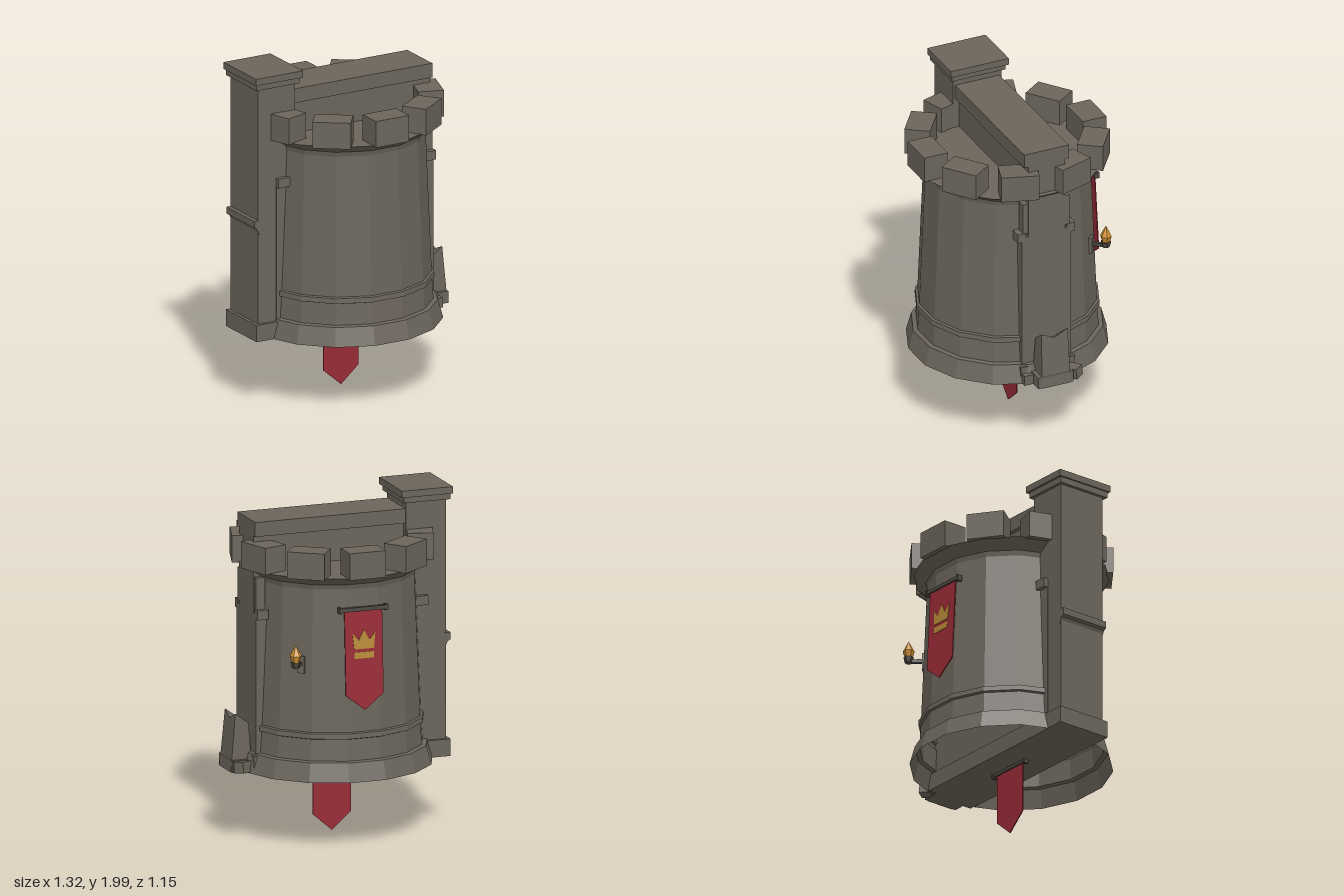
import * as THREE from 'three';

const paint = (name, color, side = THREE.FrontSide) => {
  const m = new THREE.MeshStandardMaterial({ color, side });
  m.name = name;
  return m;
};

export function createModel() {
  const stone = paint('stone', 0x6b655b, THREE.DoubleSide);
  const iron = paint('iron', 0x4c4842);
  const red = paint('red cloth', 0x982a35);
  const gold = paint('gold', 0xb88a38);
  const flameColor = paint('flame', 0xcf902f);

  const model = new THREE.Group();
  model.name = 'castleTower';

  const add = (name, geometry, material, parent = model) => {
    const mesh = new THREE.Mesh(geometry, material);
    mesh.name = name;
    parent.add(mesh);
    return mesh;
  };
  const flat = (geometry) => {
    const g = geometry.index ? geometry.toNonIndexed() : geometry;
    g.computeVertexNormals();
    return g;
  };
  // Box given by its limits on each axis
  const box = (name, x0, x1, y0, y1, z0, z1, material = stone, parent = model) => {
    const mesh = add(name, new THREE.BoxGeometry(x1 - x0, y1 - y0, z1 - z0), material, parent);
    mesh.position.set((x0 + x1) / 2, (y0 + y1) / 2, (z0 + z1) / 2);
    return mesh;
  };
  const plate = (points, depth) => new THREE.ExtrudeGeometry(
    new THREE.Shape(points.map(([x, y]) => new THREE.Vector2(x, y))),
    { depth, bevelEnabled: false });

  // Sixteen-sided tower shell, open below, closed by the roof floor
  const tower = new THREE.Group();
  tower.name = 'tower';
  tower.position.x = 0.01;
  model.add(tower);
  const profile = [[0.582, 0.42], [0.552, 0.53], [0.526, 0.535], [0.518, 0.66],
    [0.532, 0.665], [0.53, 0.695], [0.516, 0.70], [0.482, 1.53],
    [0.49, 1.56], [0.562, 1.612], [0.0001, 1.612]];
  add('towerWall', flat(new THREE.LatheGeometry(
    profile.map(([r, y]) => new THREE.Vector2(r, y)), 16, Math.PI / 16)), stone, tower);

  // Ten battlements around the rim
  for (let i = 0; i < 10; i++) {
    const pivot = new THREE.Group();
    pivot.name = 'battlement';
    pivot.rotation.y = i * Math.PI / 5;
    tower.add(pivot);
    box('battlementBlock', -0.11, 0.11, 1.608, 1.765, 0.425, 0.575, stone, pivot);
  }

  // Wall running through the tower, with its ledge and capping
  box('lowerWall', -0.51, 0.53, 0.42, 1.35, -0.155, 0.155);
  box('wallFoot', -0.53, 0.55, 0.42, 0.52, -0.17, 0.17);
  box('upperWall', -0.45, 0.53, 1.35, 1.8, -0.115, 0.115);
  box('wallCap', -0.4, 0.53, 1.8, 1.885, -0.14, 0.14);
  for (const s of [-1, 1]) {
    box('wallPilaster', 0.475, 0.528, 1.37, 1.56, s * 0.13 - 0.018, s * 0.13 + 0.018);
    box('wallPilaster', -0.46, -0.4, 1.37, 1.56, s * 0.13 - 0.018, s * 0.13 + 0.018);
    box('wallLedge', 0.465, 0.531, 1.32, 1.375, s * 0.155 - 0.025, s * 0.155 + 0.025);
    box('wallLedge', -0.51, -0.43, 1.32, 1.375, s * 0.155 - 0.025, s * 0.155 + 0.025);
  }

  // Square pillar at the wall's end
  box('pillar', -0.63, -0.385, 0.42, 1.93, -0.152, 0.152);
  box('pillarFoot', -0.65, -0.5, 0.42, 0.52, -0.172, 0.172);
  box('pillarNeck', -0.65, -0.365, 1.925, 1.96, -0.17, 0.17);
  box('pillarCap', -0.66, -0.35, 1.96, 2.0, -0.183, 0.183);
  const ledge = add('pillarLedge',
    plate([[-0.62, 1.05], [-0.62, 1.14], [-0.656, 1.14], [-0.656, 1.1], [-0.638, 1.09]], 0.31), stone);
  ledge.position.z = -0.155;

  // Broken masonry stub on the left side, leaning outward toward its foot
  const stubShape = plate(
    [[-0.09, 0.42], [0.09, 0.42], [0.085, 0.76], [0, 0.72], [-0.08, 0.755]], 0.13);
  stubShape.rotateY(Math.PI / 2);
  const p = stubShape.attributes.position;
  for (let i = 0; i < p.count; i++) {
    const rise = Math.max(0, p.getY(i) - 0.42) / 0.34;
    const outer = p.getX(i) > 0.06;
    p.setX(i, outer ? 0.66 - 0.03 * rise : 0.53 + 0.02 * rise);
    if (!outer) p.setY(i, p.getY(i) - 0.06 * rise);
  }
  add('brokenStub', flat(stubShape), stone);
  box('stubFoot', 0.5, 0.655, 0.42, 0.49, -0.11, 0.11);
  const rubble = box('rubble', 0.56, 0.645, 0.425, 0.49, -0.165, -0.1);
  rubble.rotation.set(0.12, 0.6, 0);
  box('rubble', 0.54, 0.585, 0.42, 0.48, 0.1, 0.165);

  // Hanging swallow-point banner with its rod, facing local +z
  const banner = (name, height, shoulder, hasCrown) => {
    const g = new THREE.Group();
    g.name = name;
    model.add(g);
    const w = 0.115;
    add('bannerCloth',
      plate([[-w, 0], [-w, -shoulder], [0, -height], [w, -shoulder], [w, 0]], 0.006), red, g);
    box('bannerRod', -0.145, 0.145, -0.005, 0.018, -0.01, 0.014, iron, g);
    for (const s of [-1, 1]) {
      box('rodEnd', s * 0.14 - 0.008, s * 0.14 + 0.008, -0.012, 0.024, -0.015, 0.018, iron, g);
    }
    if (hasCrown) {
      const crown = add('crownEmblem', plate([[-0.06, -0.225], [0.06, -0.225], [0.07, -0.13],
        [0.033, -0.175], [0, -0.115], [-0.033, -0.175], [-0.07, -0.13]], 0.004), gold, g);
      crown.position.z = 0.005;
      box('crownBand', -0.06, 0.06, -0.28, -0.243, 0.005, 0.009, gold, g);
    }
    return g;
  };
  const lower = banner('lowerBanner', 0.4, 0.3, false);
  lower.position.set(0.012, 0.408, -0.01);
  const back = banner('backBanner', 0.58, 0.49, true);
  back.rotation.order = 'YXZ';
  back.rotation.set(-0.05, Math.PI, 0);
  back.position.set(0.01, 1.41, -0.495);

  // Wall torch on the back left of the tower
  const torch = new THREE.Group();
  torch.name = 'torch';
  torch.position.x = 0.01;
  torch.rotation.y = Math.PI - 0.725;
  model.add(torch);
  box('torchPlate', -0.022, 0.022, 1.04, 1.14, 0.47, 0.508, stone, torch);
  box('torchArm', -0.01, 0.01, 1.088, 1.108, 0.49, 0.585, iron, torch);
  const cup = add('torchCup', flat(new THREE.CylinderGeometry(0.03, 0.022, 0.035, 6)), iron, torch);
  cup.position.set(0, 1.107, 0.585);
  const flame = add('torchFlame', flat(new THREE.LatheGeometry(
    [[0.0001, 1.11], [0.022, 1.12], [0.034, 1.16], [0.0001, 1.225]]
      .map(([r, y]) => new THREE.Vector2(r, y)), 6)), flameColor, torch);
  flame.position.z = 0.585;

  return model;
}
